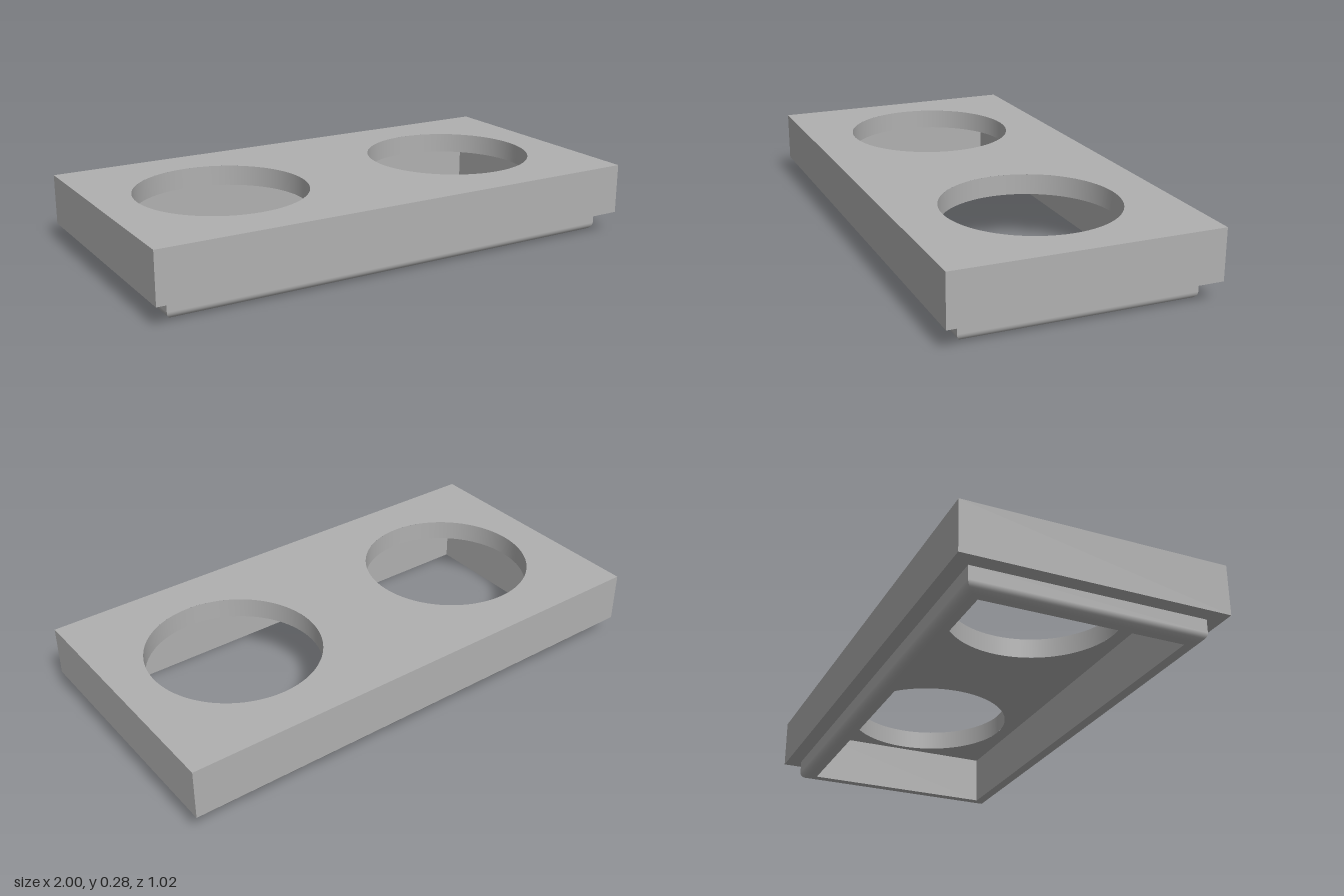
import * as THREE from 'three';
import { mergeGeometries } from 'three/addons/utils/BufferGeometryUtils.js';

const HX = 1, HZ = 0.51;              // half size of the block
const TOP = 0.28, CEIL = 0.2, LEDGE = 0.082;
const LIP = 0.06, WALL = 0.12, R = 0.03; // insets from the block edge, lip rounding
const HOLE_X = 0.52, HOLE_R = 0.333, SEG = 64;

// Mitred rectangular band; each point is [inset, y, outward normal, upward normal]
function band(points) {
  const sides = [];
  for (let k = 0; k < 4; k++) {
    const [half, depth] = k % 2 ? [HZ, HX] : [HX, HZ];
    const pos = [], nor = [], idx = [];
    points.forEach(([inset, y, no, ny], i) => {
      for (const s of [-1, 1]) {
        pos.push(s * (half - inset), y, depth - inset);
        nor.push(0, ny, no);
      }
      if (i) {
        const a = 2 * i - 2;
        idx.push(a, a + 2, a + 3, a, a + 3, a + 1);
      }
    });
    const g = new THREE.BufferGeometry();
    g.setAttribute('position', new THREE.Float32BufferAttribute(pos, 3));
    g.setAttribute('normal', new THREE.Float32BufferAttribute(nor, 3));
    g.setIndex(idx);
    sides.push(g.rotateY(k * Math.PI / 2));
  }
  return mergeGeometries(sides);
}

// Flat rectangle with the two round openings, facing up (1) or down (-1)
function panel(hx, hz, y, facing) {
  const s = new THREE.Shape([[-hx, -hz], [hx, -hz], [hx, hz], [-hx, hz]].map(p => new THREE.Vector2(...p)));
  for (const side of [-1, 1]) {
    s.holes.push(new THREE.Path().absarc(side * HOLE_X, 0, HOLE_R, 0, Math.PI * 2, true));
  }
  return new THREE.ShapeGeometry(s, SEG).rotateX(-facing * Math.PI / 2).translate(0, y, 0);
}

export function createModel() {
  const group = new THREE.Group();
  const grey = new THREE.MeshStandardMaterial({ color: 0xb0b0b0 });
  grey.name = 'grey';
  const add = (name, geometry) => {
    const m = new THREE.Mesh(geometry, grey);
    m.name = name;
    group.add(m);
    return m;
  };

  // Block
  add('topFace', panel(HX, HZ, TOP, 1));
  add('blockSides', band([[0, TOP, 1, 0], [0, LEDGE, 1, 0]]));
  add('ledge', band([[0, LEDGE, 0, -1], [LIP, LEDGE, 0, -1]]));

  // Lip with a rounded lower outer edge
  const lip = [[LIP, LEDGE, 1, 0]];
  for (let i = 0; i <= 10; i++) {
    const a = i / 10 * Math.PI / 2;
    lip.push([LIP + R - R * Math.cos(a), R - R * Math.sin(a), Math.cos(a), -Math.sin(a)]);
  }
  lip.push([WALL, 0, 0, -1]);
  add('lip', band(lip));

  // Hollow underside
  add('cavityWalls', band([[WALL, 0, -1, 0], [WALL, CEIL, -1, 0]]));
  add('cavityCeiling', panel(HX - WALL, HZ - WALL, CEIL, -1));

  // Walls of the round openings, facing inward
  const profile = [new THREE.Vector2(HOLE_R, TOP), new THREE.Vector2(HOLE_R, CEIL)];
  for (const side of [-1, 1]) {
    add(side > 0 ? 'leftOpening' : 'rightOpening', new THREE.LatheGeometry(profile, SEG)).position.x = side * HOLE_X;
  }
  return group;
}
